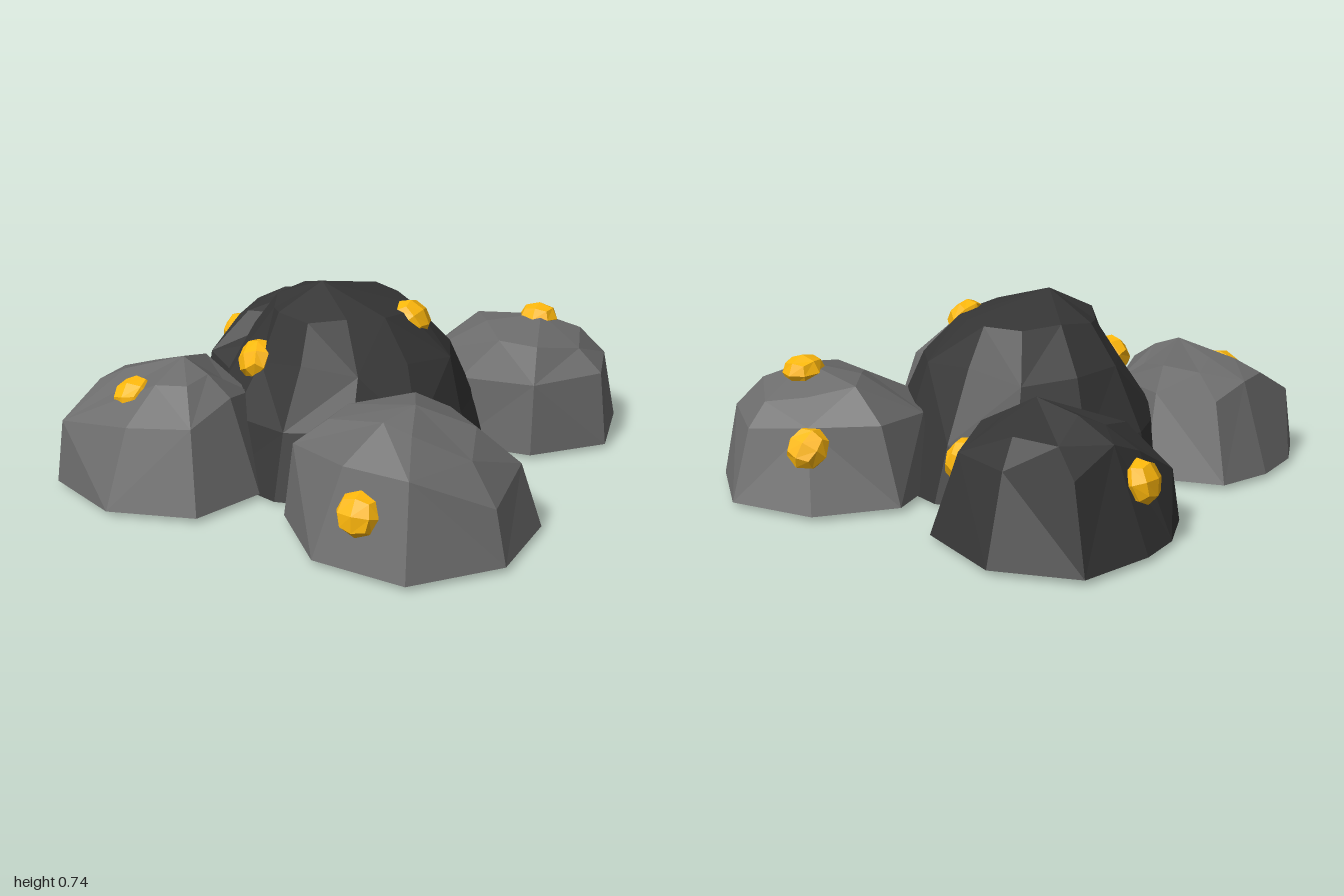
import * as THREE from 'three';

const stone = new THREE.MeshStandardMaterial({ color: 0x6b6b6b, flatShading: true });
const darkStone = new THREE.MeshStandardMaterial({ color: 0x353535, flatShading: true });
const gold = new THREE.MeshStandardMaterial({ color: 0xffb80c, flatShading: true });

// seeded random in -1..1
function seeded(seed) {
  let s = seed;
  return () => {
    s = (s * 16807) % 2147483647;
    return (s / 2147483647) * 2 - 1;
  };
}

// Faceted shell through cross-sections (clockwise from above), closed by a peak and a base
function shell(rings, peak, bottomY) {
  const pos = [];
  const tri = (...pts) => pts.forEach((p) => pos.push(...p));
  const n = rings[0].length;
  for (let i = 0; i < n; i++) {
    const k = (i + 1) % n;
    for (let j = 0; j < rings.length - 1; j++) {
      const [a, b, c, d] = [rings[j][i], rings[j][k], rings[j + 1][i], rings[j + 1][k]];
      if ((i + j) % 2) {
        tri(a, c, b);
        tri(b, c, d);
      } else {
        tri(a, c, d);
        tri(a, d, b);
      }
    }
    const top = rings[rings.length - 1];
    tri(top[i], peak, top[k]);
    tri([peak[0], bottomY, peak[2]], rings[0][i], rings[0][k]);
  }
  const g = new THREE.BufferGeometry();
  g.setAttribute('position', new THREE.Float32BufferAttribute(pos, 3));
  g.computeVertexNormals();
  return g;
}

// Boulder: outline rows are [x, z, inset of shoulder, height of shoulder]
function boulder(name, material, outline, peak, lift, seed) {
  const rnd = seeded(seed);
  const mix = THREE.MathUtils.lerp;
  const inward = (x, z, t, y) => [mix(x, peak[0], t), y, mix(z, peak[2], t)];
  const base = outline.map(([x, z]) => [x, 0.02, z]);
  const shoulder = outline.map(([x, z, t, y]) => inward(x, z, t, y));
  const crown = outline.map(([x, z, t, y]) =>
    inward(x, z, mix(t, 1, 0.43 + 0.14 * rnd()), mix(y, peak[1], lift + 0.2 * rnd())));
  const mesh = new THREE.Mesh(shell([base, shoulder, crown], peak, 0.02), material);
  mesh.name = name;
  return mesh;
}

// Central mound: shrinking rings that drift toward the off-centre peak
function mound() {
  const rnd = seeded(77);
  const n = 12;
  // rows are [y, radius in x, radius in z, centre x, centre z, roughness]
  const profile = [
    [0.012, 0.595, 0.6, -0.025, 0.04, 0],
    [0.25, 0.53, 0.525, -0.03, 0.05, 0.025],
    [0.47, 0.425, 0.375, -0.02, 0.045, 0.025],
    [0.64, 0.285, 0.285, -0.03, 0.06, 0.02],
  ];
  const rings = profile.map(([y, rx, rz, cx, cz, rough]) =>
    Array.from({ length: n }, (_, i) => {
      const a = (i / n) * Math.PI * 2;
      const wobble = rough * rnd();
      return [
        cx + (rx + wobble) * Math.cos(a),
        y + rough * rnd(),
        cz + (rz + wobble) * Math.sin(a),
      ];
    }));
  const mesh = new THREE.Mesh(shell(rings, [-0.08, 0.74, 0.14], 0), darkStone);
  mesh.name = 'centralMound';
  return mesh;
}

// Nugget: a subdivided cube rounded to a ball, slightly flattened
const nuggetGeometry = new THREE.BoxGeometry(1, 1, 1, 2, 2, 2);
{
  const p = nuggetGeometry.attributes.position;
  const v = new THREE.Vector3();
  for (let i = 0; i < p.count; i++) {
    v.fromBufferAttribute(p, i).normalize().multiplyScalar(0.084);
    p.setXYZ(i, v.x, v.y * 0.75, v.z);
  }
  nuggetGeometry.computeVertexNormals();
}

// Its short axis follows the rock surface normal
function nugget([x, y, z], normal, size = 1) {
  const mesh = new THREE.Mesh(nuggetGeometry, gold);
  mesh.scale.setScalar(size);
  mesh.position.set(x, y, z);
  mesh.quaternion.setFromUnitVectors(
    new THREE.Vector3(0, 1, 0), new THREE.Vector3(...normal).normalize());
  mesh.name = 'goldNugget';
  return mesh;
}

export function createModel() {
  const group = new THREE.Group();
  group.name = 'oreRocks';
  group.add(mound());

  // Four boulders around the mound
  group.add(boulder('backRightBoulder', darkStone, [
    [-0.55, -0.95, 0.31, 0.32], [-0.21, -0.82, 0.27, 0.32], [-0.1, -0.52, 0.33, 0.37],
    [-0.18, -0.28, 0.22, 0.34], [-0.5, -0.13, 0.24, 0.32], [-0.87, -0.19, 0.06, 0.22],
    [-0.94, -0.38, 0.25, 0.34], [-0.94, -0.55, 0.31, 0.39], [-0.86, -0.83, 0.22, 0.32],
  ], [-0.46, 0.5, -0.52], 0.56, 11));
  group.add(boulder('backLeftBoulder', stone, [
    [0.6, -1, 0.24, 0.29], [0.88, -0.78, 0.18, 0.31], [0.94, -0.43, 0.12, 0.32],
    [0.7, -0.18, 0.08, 0.31], [0.38, -0.15, 0.05, 0.31], [0.1, -0.4, 0.08, 0.31],
    [0.04, -0.68, 0.18, 0.32], [0.25, -0.94, 0.35, 0.31],
  ], [0.58, 0.49, -0.6], 0.62, 23));
  group.add(boulder('frontRightBoulder', stone, [
    [-0.55, 0.13, 0.28, 0.34], [-0.2, 0.33, 0.28, 0.33], [-0.1, 0.62, 0.36, 0.38],
    [-0.2, 0.9, 0.28, 0.32], [-0.53, 1, 0.28, 0.31], [-0.86, 0.87, 0.07, 0.27],
    [-0.93, 0.68, 0.28, 0.38], [-0.93, 0.45, 0.27, 0.38], [-0.85, 0.23, 0.22, 0.33],
  ], [-0.46, 0.5, 0.56], 0.54, 35));
  group.add(boulder('frontLeftBoulder', stone, [
    [0.6, 0.14, 0.28, 0.33], [0.94, 0.39, 0.18, 0.27], [0.93, 0.73, 0.12, 0.22],
    [0.68, 1, 0.3, 0.34], [0.32, 0.98, 0.3, 0.34], [0.07, 0.73, 0.08, 0.31],
    [0.1, 0.54, 0.06, 0.31], [0.35, 0.2, 0.16, 0.34],
  ], [0.54, 0.5, 0.62], 0.6, 47));

  // Gold nuggets: position, surface normal, size
  [
    [[-0.86, 0.25, -0.46], [-1, 0.35, 0.1]],
    [[-0.23, 0.26, -0.65], [1, 0.45, -0.4]],
    [[0.33, 0.25, -0.86], [-0.4, 0.8, -1]],
    [[0.56, 0.465, -0.63], [0, 1, -0.1]],
    [[-0.59, 0.37, 0.71], [-0.2, 1, 0.5]],
    [[0.47, 0.2, 0.92], [0, 0.3, 1]],
    [[0.66, 0.19, 0.265], [0.35, 0.4, -1]],
    [[0.255, 0.6, 0.02], [1, 0.9, 0]],
    [[-0.27, 0.45, 0.34], [-0.6, 0.6, 0.9]],
    [[-0.29, 0.52, -0.11], [-1, 0.8, -0.6], 0.75],
  ].forEach((n) => group.add(nugget(...n)));

  return group;
}
